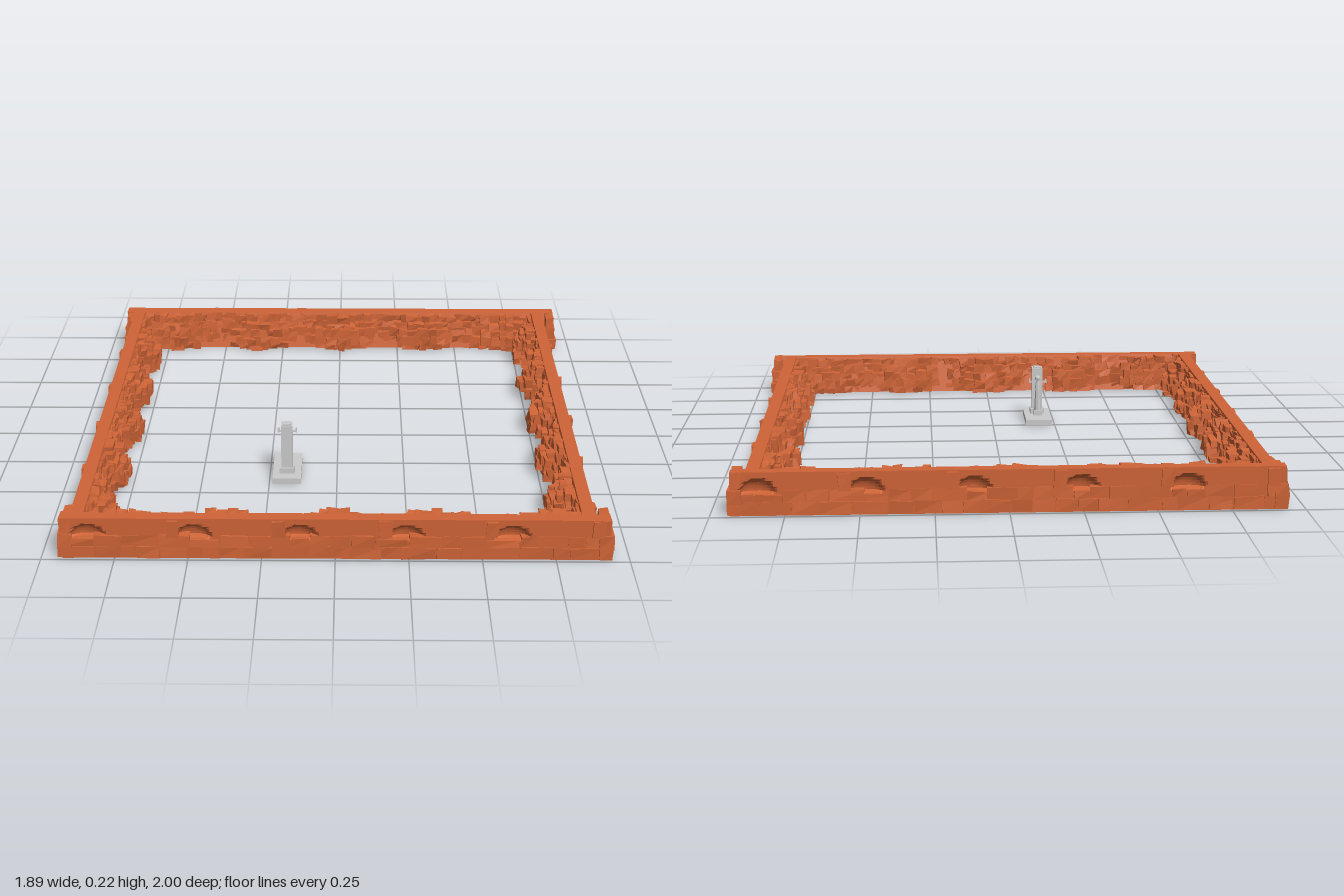
import * as THREE from 'three';
import { mergeGeometries } from 'three/addons/utils/BufferGeometryUtils.js';

const PERIOD = 0.36, TOP = 0.15;
const rockMat = new THREE.MeshStandardMaterial({ color: 0xcf6437, flatShading: true });
const stoneMat = new THREE.MeshStandardMaterial({ color: 0xcccccc, flatShading: true });

let seed = 7;
const rnd = (a = 0, b = 1) => {
  seed = (seed * 16807) % 2147483647;
  return a + (b - a) * (seed / 2147483647);
};

// A box between two corners whose eight corners are nudged, kept inside the wall height
function chunk(x0, x1, y0, y1, z0, z1, j = 0.005) {
  const geo = new THREE.BoxGeometry(1, 1, 1);
  const nudges = Array.from({ length: 8 }, () => [rnd(-j, j), rnd(-j, j), rnd(-j, j)]);
  const p = geo.attributes.position;
  for (let i = 0; i < p.count; i++) {
    const u = p.getX(i) > 0, v = p.getY(i) > 0, w = p.getZ(i) > 0;
    const n = nudges[u + 2 * v + 4 * w];
    p.setXYZ(i, (u ? x1 : x0) + n[0],
      THREE.MathUtils.clamp((v ? y1 : y0) + n[1], 0, TOP), (w ? z1 : z0) + n[2]);
  }
  return geo;
}

// Signed distance along the wall to the nearest repeat of an offset
const wrap = (s, offset) => {
  const t = (s - offset) / PERIOD;
  return (t - Math.round(t)) * PERIOD;
};

// Solid wall with a flat top, a flat outer face and an arched niche in every module
function wallCore(length, shift) {
  const ys = [0, 0.02, 0.045, 0.07, 0.08, 0.09, 0.1, 0.11, 0.12, 0.13, TOP];
  const cols = Math.round(length / 0.012), rings = ys.length + 3;
  const pos = [], index = [];
  for (let i = 0; i <= cols; i++) {
    const s = -length / 2 + (length * i) / cols;
    const du = wrap(s, shift - 0.12) / 0.06;
    pos.push(s, 0, -0.085);
    for (const y of ys) {
      const dv = (y - 0.075) / 0.052;
      const inside = y > 0.07 ? 1 - du * du - dv * dv : 0;
      pos.push(s, y, inside > 0 ? -0.032 * Math.sqrt(inside) : 0);
    }
    pos.push(s, TOP, -0.045, s, 0, -0.085);
  }
  for (let i = 0; i < cols; i++) {
    for (let k = 0; k < rings - 1; k++) {
      const a = i * rings + k, b = a + rings;
      index.push(a, b, b + 1, a, b + 1, a + 1);
    }
  }
  const geo = new THREE.BufferGeometry();
  geo.setAttribute('position', new THREE.Float32BufferAttribute(pos, 3));
  geo.setIndex(index);
  geo.computeVertexNormals();
  return geo;
}

// Jagged stacked rocks on the inner side, bulging once per module
function innerRocks(length, shift) {
  const rows = [[0, 0.035, 0.9], [0.025, 0.065, 1], [0.055, 0.095, 0.92], [0.085, 0.12, 0.78], [0.11, 0.146, 0.62]];
  const list = [];
  for (const [y0, y1, reach] of rows) {
    for (let s = -length / 2; s < length / 2 - 0.01;) {
      const w = Math.min(rnd(0.02, 0.048), length / 2 - s);
      const bulge = Math.cos((wrap(s + w / 2, shift) / PERIOD) * Math.PI * 2);
      const depth = (0.106 + 0.032 * bulge) * reach + rnd(-0.012, 0.012);
      list.push(chunk(s - 0.003, s + w + 0.003, y0, y1 + rnd(-0.01, 0.003), -Math.max(depth, 0.055), -0.035, 0.006));
      s += w;
    }
  }
  return mergeGeometries(list);
}

// Two low courses of cracked stones and one upright block per module on the outer side
function outerStones(length, shift) {
  const list = [], half = length / 2;
  for (const [y0, y1] of [[0.004, 0.046], [0.046, 0.088]]) {
    for (let s = -half; s < half - 0.02;) {
      const w = Math.min(rnd(0.05, 0.12), half - s);
      const niche = y1 > 0.08 && Math.abs(wrap(s + w / 2, shift - 0.12)) < 0.05;
      list.push(chunk(s + 0.002, s + w - 0.002, y0, niche ? y1 - 0.014 : y1, -0.03, rnd(0.001, 0.008), 0.003));
      s += w;
    }
  }
  for (let k = -3; k <= 3; k++) {
    const s = shift - 0.19 + k * PERIOD;
    if (Math.abs(s) < half - 0.02) list.push(chunk(s - 0.021, s + 0.021, 0.085, 0.146, -0.03, 0.011, 0.003));
  }
  return mergeGeometries(list);
}

// Stacked blocks closing both ends of a long wall
function endStones(half) {
  const list = [];
  for (const side of [-1, 1]) {
    for (const [y0, y1, out, zIn, zOut] of [
      [0, 0.045, 0.003, -0.095, 0.004], [0.045, 0.092, 0, -0.085, 0.009], [0.092, TOP, -0.007, -0.05, 0.004],
      [0.1, 0.146, -0.012, -0.1, -0.04]]) {
      const a = side * (half - 0.045), b = side * (half + out);
      list.push(chunk(Math.min(a, b), Math.max(a, b), y0, y1, zIn, zOut, 0.004));
    }
  }
  return mergeGeometries(list);
}

function wall(name, length, shift, angle, x, z, ends) {
  const g = new THREE.Group();
  g.name = name;
  const add = (part, geo) => {
    const m = new THREE.Mesh(geo, rockMat);
    m.name = part;
    g.add(m);
  };
  add('wallCore', wallCore(ends ? length - 0.02 : length, shift));
  add('innerRocks', innerRocks(length - (ends ? 0.14 : 0), shift));
  add('outerStones', outerStones(length - 0.03, shift));
  if (ends) add('endStones', endStones(length / 2));
  g.position.set(x, 0, z);
  g.rotation.y = angle;
  return g;
}

// Slab with a square pillar and a small figure standing before it
function monument() {
  const g = new THREE.Group();
  g.name = 'monument';
  const add = (name, geo, x, y, z) => {
    const m = new THREE.Mesh(geo, stoneMat);
    m.name = name;
    m.position.set(x, y, z);
    g.add(m);
    return m;
  };
  const box = (w, h, d) => new THREE.BoxGeometry(w, h, d);
  add('slab', box(0.105, 0.022, 0.215), 0, 0.011, 0);
  add('pillarFoot', box(0.056, 0.02, 0.056), 0, 0.032, 0.035);
  add('pillar', box(0.042, 0.18, 0.042), 0, 0.12, 0.035);
  add('pillarCap', box(0.03, 0.006, 0.03), 0, 0.212, 0.035);
  add('figureBase', box(0.034, 0.022, 0.034), 0, 0.033, -0.014);
  add('robe', new THREE.CylinderGeometry(0.009, 0.014, 0.09, 8), 0, 0.089, -0.014);
  add('chest', new THREE.CylinderGeometry(0.008, 0.011, 0.03, 8), 0, 0.149, -0.014);
  add('head', new THREE.SphereGeometry(0.011, 8, 6), 0, 0.175, -0.014);
  add('pointer', new THREE.CylinderGeometry(0.002, 0.002, 0.045, 6), 0, 0.15, -0.035).rotation.x = Math.PI / 2;
  for (const side of [-1, 1]) {
    add('arm', box(0.03, 0.006, 0.007), side * 0.019, 0.16, -0.014);
    add('hand', box(0.006, 0.018, 0.008), side * 0.033, 0.164, -0.014);
  }
  g.position.set(-0.185, 0.005, 0.33);
  return g;
}

export function createModel() {
  const model = new THREE.Group();
  model.name = 'rockEnclosure';
  seed = 7;
  model.add(
    wall('frontWall', 1.88, 0, 0, 0, 0.985, true),
    wall('backWall', 1.88, 0, Math.PI, 0, -0.985, true),
    wall('leftWall', 1.88, 0.05, Math.PI / 2, 0.88, 0, false),
    wall('rightWall', 1.88, 0.05, -Math.PI / 2, -0.9, 0, false),
    monument(),
  );
  return model;
}
